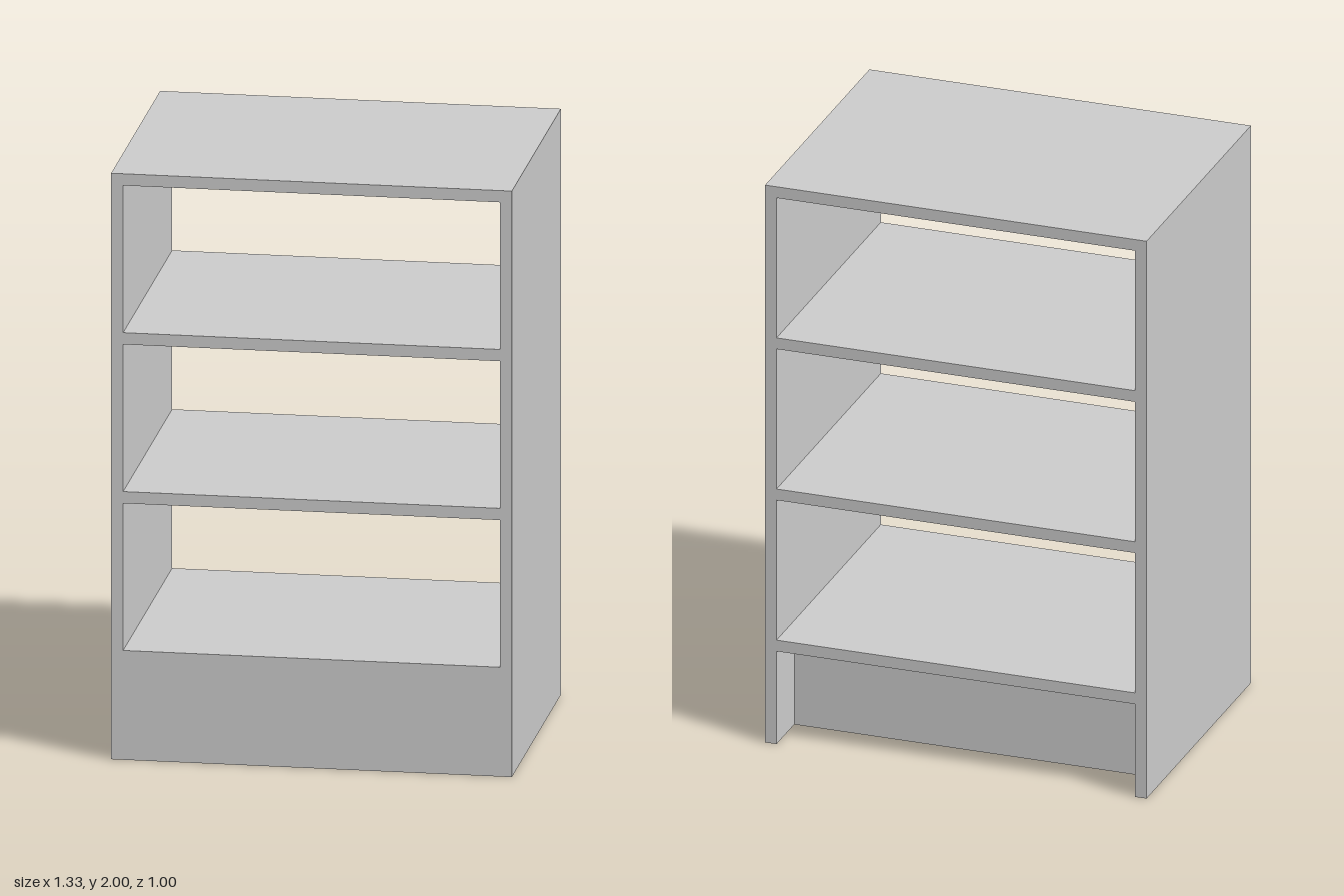
import * as THREE from 'three';

const W = 1.333, H = 2, D = 1; // overall size
const T = 0.04;                // board thickness
const BASE = 0.333;            // height of the plinth
const RECESS = 0.17;           // depth of the gap behind the plinth
const SHELVES = 3;

export function createModel() {
  const group = new THREE.Group();
  group.name = 'openShelfCabinet';
  const material = new THREE.MeshStandardMaterial({ color: 0xcccccc, flatShading: true });
  const outer = W / 2, inner = outer - T;
  const pitch = (H - T - BASE) / SHELVES;

  // Carcass: sides, top and shelves as one outline, notched at the foot
  const outline = new THREE.Shape([
    [-outer, 0], [-inner, 0], [-inner, BASE], [inner, BASE],
    [inner, 0], [outer, 0], [outer, H], [-outer, H],
  ].map(([x, y]) => new THREE.Vector2(x, y)));

  // Open compartments, running right through from front to back
  for (let i = 0; i < SHELVES; i++) {
    const y0 = BASE + i * pitch + T;
    const y1 = BASE + (i + 1) * pitch;
    outline.holes.push(new THREE.Path([
      new THREE.Vector2(-inner, y0), new THREE.Vector2(-inner, y1),
      new THREE.Vector2(inner, y1), new THREE.Vector2(inner, y0),
    ]));
  }
  const carcassGeometry = new THREE.ExtrudeGeometry(outline, { depth: D, bevelEnabled: false });
  carcassGeometry.translate(0, 0, -D / 2);
  const carcass = new THREE.Mesh(carcassGeometry, material);
  carcass.name = 'carcassWithShelves';
  group.add(carcass);

  // Plinth: flush at the front, set in at the back
  const plinth = new THREE.Mesh(new THREE.BoxGeometry(inner * 2, BASE, D - RECESS), material);
  plinth.name = 'plinth';
  plinth.position.set(0, BASE / 2, RECESS / 2);
  group.add(plinth);

  return group;
}
